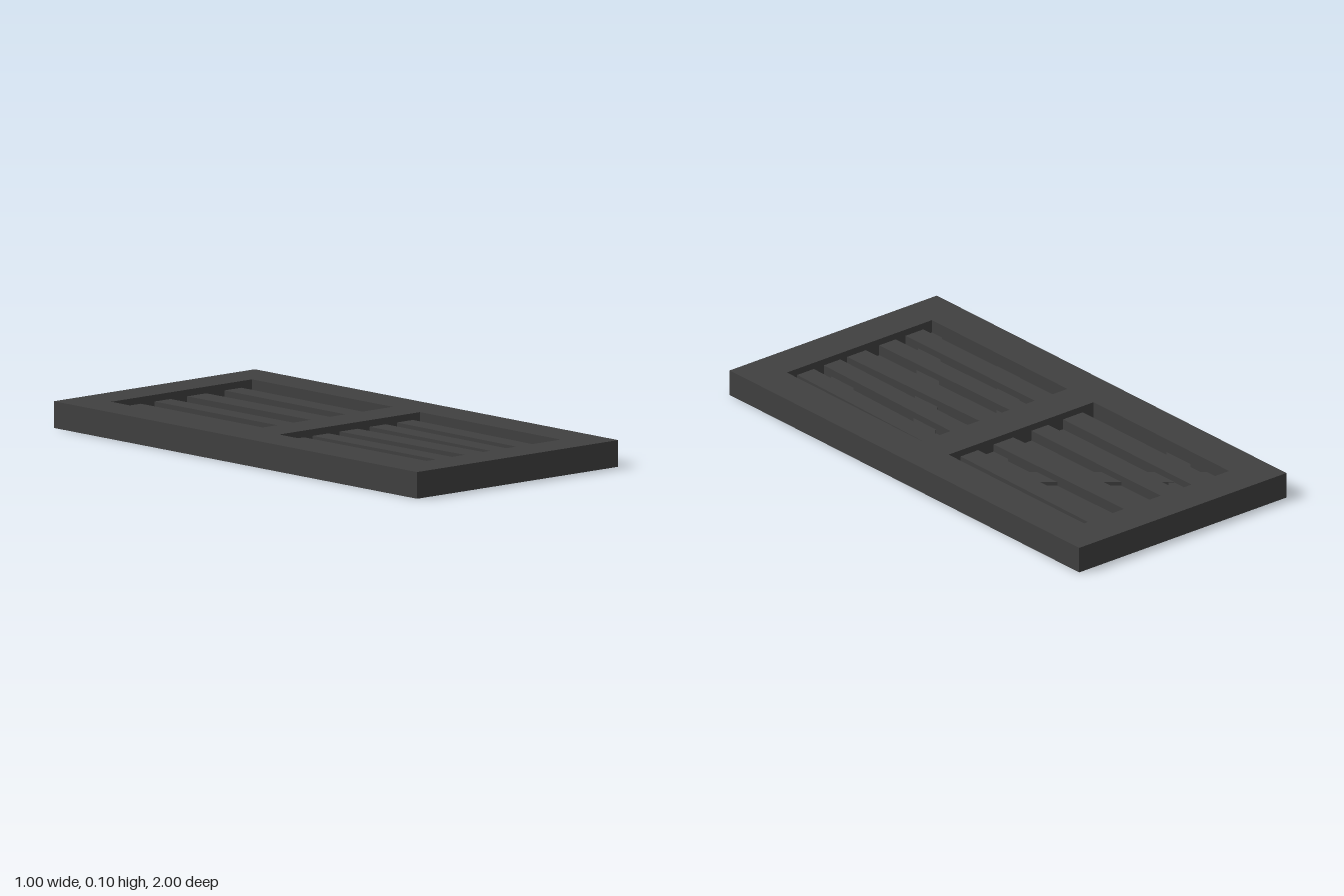
import * as THREE from 'three';

export function createModel() {
  const root = new THREE.Group();
  const wood = new THREE.MeshStandardMaterial({ color: 0x404040 });

  // Box given by its limits on each axis
  const box = (name, x0, x1, y0, y1, z0, z1) => {
    const mesh = new THREE.Mesh(new THREE.BoxGeometry(x1 - x0, y1 - y0, z1 - z0), wood);
    mesh.position.set((x0 + x1) / 2, (y0 + y1) / 2, (z0 + z1) / 2);
    mesh.name = name;
    root.add(mesh);
  };

  // Flat board running between two points on the floor plane
  const board = (name, [xa, za, xb, zb], width, y0, y1) => {
    const dx = xb - xa, dz = zb - za;
    const mesh = new THREE.Mesh(new THREE.BoxGeometry(width, y1 - y0, Math.hypot(dx, dz)), wood);
    mesh.position.set((xa + xb) / 2, (y0 + y1) / 2, (za + zb) / 2);
    mesh.rotation.y = Math.atan2(dx, dz);
    mesh.name = name;
    root.add(mesh);
  };

  // Frame: split rail on one side, three cross rails, short rails between them
  const H = 0.1;
  box('sideRailBack', -0.5, -0.35, 0, H, -1, 0);
  box('sideRailFront', -0.5, -0.35, 0, H, 0, 1);
  for (const z of [-0.925, 0, 0.925]) box('crossRail', -0.35, 0.5, 0, H, z - 0.075, z + 0.075);
  box('shortRailBack', 0.35, 0.5, 0, H, -0.85, -0.075);
  box('shortRailFront', 0.35, 0.5, 0, H, 0.075, 0.85);

  // Two panels: slats are [x at back, x at front, width]
  const panels = [
    {
      z0: -0.85, z1: -0.075,
      slats: [[-0.25, -0.25, 0.095], [-0.095, -0.09, 0.08], [0.075, 0.085, 0.095], [0.255, 0.25, 0.085]],
      braces: [[-0.4, -0.82, 0.4, -0.15], [-0.39, -0.51, -0.11, -0.86], [0.38, -0.39, 0.09, -0.04]],
    },
    {
      z0: 0.075, z1: 0.85,
      slats: [[-0.27, -0.265, 0.085], [-0.145, -0.135, 0.08], [-0.005, 0.015, 0.09], [0.14, 0.132, 0.08], [0.275, 0.26, 0.08]],
      braces: [[-0.38, 0.89, 0.38, 0.04], [-0.4, 0.47, -0.05, 0.06], [0.38, 0.51, 0.05, 0.88]],
    },
  ];
  for (const { z0, z1, slats, braces } of panels) {
    box('backingPanel', -0.35, 0.35, 0.02, 0.035, z0, z1);
    // Diagonal braces under the slats, showing on both faces
    braces.forEach((line, i) => board('diagonalBrace', line, 0.085, 0.014 + i * 0.001, 0.05 - i * 0.002));
    // Slightly crooked upright slats
    for (const [xb, xf, w] of slats) board('slat', [xb, z0 - 0.01, xf, z1 + 0.01], w, 0.03, 0.075);
  }
  return root;
}
